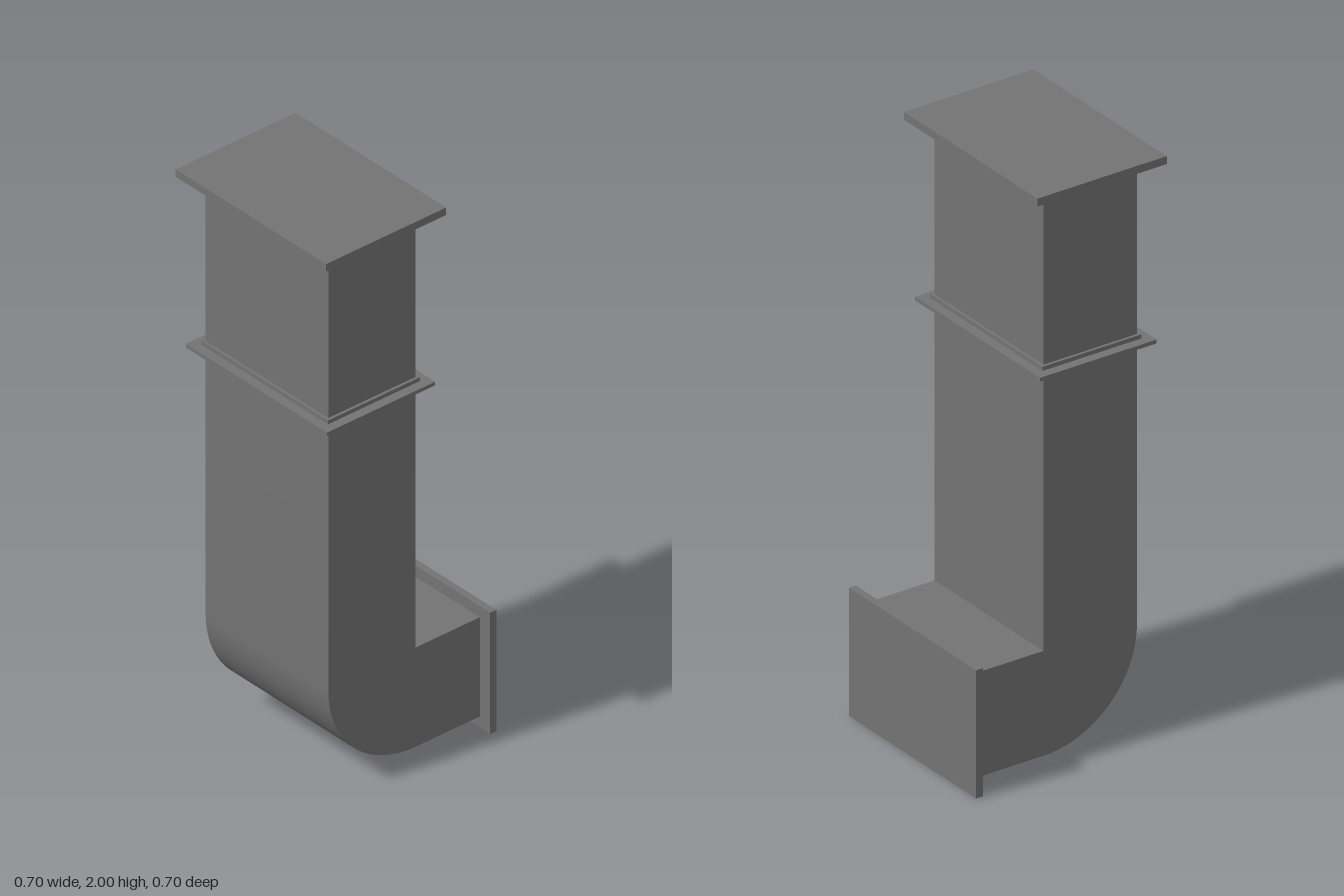
import * as THREE from 'three';
import { toCreasedNormals } from 'three/addons/utils/BufferGeometryUtils.js';

export function createModel() {
  const model = new THREE.Group();
  model.name = 'ventilationDuct';
  const metal = new THREE.MeshStandardMaterial({ color: 0x737373 });
  metal.name = 'grey sheet metal';

  const W = 0.285;               // half width of the duct
  const BACK = -0.065, FRONT = 0.285;
  const MID = (BACK + FRONT) / 2;
  const JOINT = 1.36, TOP = 1.95;

  const add = (name, geometry, x = 0, y = 0, z = 0) => {
    const mesh = new THREE.Mesh(geometry, metal);
    mesh.name = name;
    mesh.position.set(x, y, z);
    model.add(mesh);
    return mesh;
  };
  // box given by its half width and its y and z limits
  const slab = (name, hw, y0, y1, z0, z1) =>
    add(name, new THREE.BoxGeometry(hw * 2, y1 - y0, z1 - z0), 0, (y0 + y1) / 2, (z0 + z1) / 2);

  // lower duct with rounded elbow: side profile (z, y) extruded across x
  const side = new THREE.Shape();
  side.moveTo(-0.325, 0.04);
  side.lineTo(BACK, 0.04);
  side.absellipse(BACK, 0.39, 0.35, 0.35, -Math.PI / 2, 0, false);
  side.lineTo(FRONT, JOINT);
  side.lineTo(BACK, JOINT);
  side.lineTo(BACK, 0.4);
  side.lineTo(-0.325, 0.4);
  side.closePath();
  const elbow = new THREE.ExtrudeGeometry(side, { depth: W * 2, bevelEnabled: false, curveSegments: 32 });
  elbow.translate(0, 0, -W);
  elbow.rotateY(-Math.PI / 2);
  // the turn maps the profile's first axis onto +z
  add('elbowDuct', toCreasedNormals(elbow, 0.4));

  // upper duct: open sheet-metal tube
  const rect = (Type, hx, hz) => {
    const s = new Type();
    s.moveTo(-hx, -hz);
    s.lineTo(hx, -hz);
    s.lineTo(hx, hz);
    s.lineTo(-hx, hz);
    s.closePath();
    return s;
  };
  const hz = (FRONT - BACK) / 2, wall = 0.006;
  const ring = rect(THREE.Shape, W, hz);
  ring.holes.push(rect(THREE.Path, W - wall, hz - wall));
  const tube = new THREE.ExtrudeGeometry(ring, { depth: TOP - JOINT, bevelEnabled: false });
  tube.rotateX(-Math.PI / 2);
  add('upperDuct', tube, 0, JOINT, MID);

  // joint between the two ducts
  slab('jointCollar', 0.295, 1.34, 1.382, BACK - 0.01, FRONT + 0.01);
  slab('jointFlange', 0.328, 1.355, 1.368, BACK - 0.043, FRONT + 0.043);

  // wall plate at the back
  slab('wallPlate', 0.333, 0, 0.44, -0.35, -0.325);

  // rain cap on four small tabs
  slab('rainCap', 0.35, 1.973, 2, -0.133, 0.35);
  for (const s of [-1, 1]) {
    add('sideTab', new THREE.BoxGeometry(wall, 0.033, 0.028), s * (W - wall / 2), 1.9585, MID);
    add('faceTab', new THREE.BoxGeometry(0.028, 0.033, wall), 0, 1.9585, MID + s * (hz - wall / 2));
  }
  return model;
}
